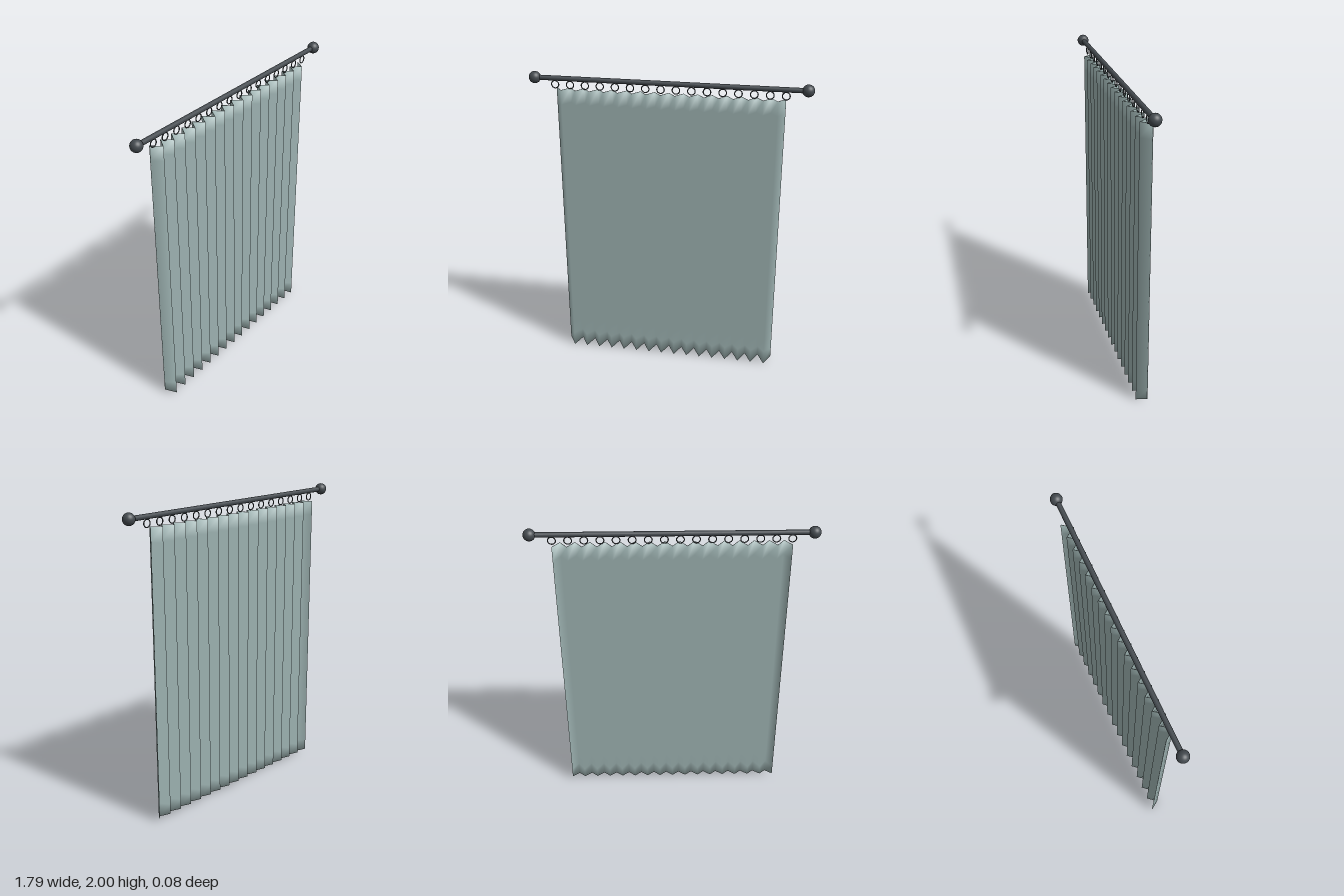
import * as THREE from 'three';
import { mergeVertices } from 'three/addons/utils/BufferGeometryUtils.js';

const WIDTH = 1.45, TOP = 1.895, HALF_DEPTH = 0.033, THICK = 0.005;
const FOLDS = 16, RINGS = 16, ROD_Y = 1.962;

// Thin welded slab, pleated into a zigzag with a hem that dips at the front ridges
function pleatedCloth() {
  let g = new THREE.BoxGeometry(WIDTH, TOP, THICK, FOLDS * 2, 20, 1);
  g.deleteAttribute('normal');
  g.deleteAttribute('uv');
  g = mergeVertices(g, 1e-4);
  const p = g.attributes.position;
  const ends = [];
  for (let i = 0; i < p.count; i++) {
    const column = Math.round((p.getX(i) / WIDTH + 0.5) * FOLDS * 2);
    const front = column % 2 === 1;
    const y = p.getY(i) + TOP / 2;
    const hem = y < 1e-4, head = y > TOP - 1e-4;
    ends.push(hem ? -1 : head ? 1 : 0);
    p.setZ(i, p.getZ(i) + (front ? 1 : -1) * (HALF_DEPTH - THICK / 2));
    p.setY(i, hem && !front ? 0.025 : y);
  }
  g.computeVertexNormals();
  // Soften the hem and heading by tilting their normals outward
  const n = g.attributes.normal, v = new THREE.Vector3();
  ends.forEach((end, i) => {
    if (!end) return;
    v.fromBufferAttribute(n, i).setY(end * 0.8).normalize();
    n.setXYZ(i, v.x, v.y, v.z);
  });
  return g;
}

export function createModel() {
  const fabric = new THREE.MeshStandardMaterial({ color: 0x9bb0af });
  fabric.name = 'sage fabric';
  const metal = new THREE.MeshStandardMaterial({ color: 0x444a4f });
  metal.name = 'dark metal';

  const model = new THREE.Group();
  model.name = 'curtain';
  const add = (name, geometry, material, x = 0, y = 0) => {
    const mesh = new THREE.Mesh(geometry, material);
    mesh.name = name;
    mesh.position.set(x, y, 0);
    model.add(mesh);
    return mesh;
  };

  add('pleatedCloth', pleatedCloth(), fabric);

  // Rod with a ball at each end
  add('rod', new THREE.CylinderGeometry(0.016, 0.016, 1.7, 24), metal, 0, ROD_Y).rotation.z = Math.PI / 2;
  const ball = new THREE.SphereGeometry(0.038, 28, 18);
  add('leftFinial', ball, metal, 0.856, ROD_Y);
  add('rightFinial', ball, metal, -0.856, ROD_Y);

  // Hanging rings
  const ring = new THREE.TorusGeometry(0.0235, 0.0035, 8, 28);
  for (let i = 0; i < RINGS; i++) {
    add('ring', ring, metal, (i / (RINGS - 1) - 0.5) * WIDTH, 1.922);
  }
  return model;
}
